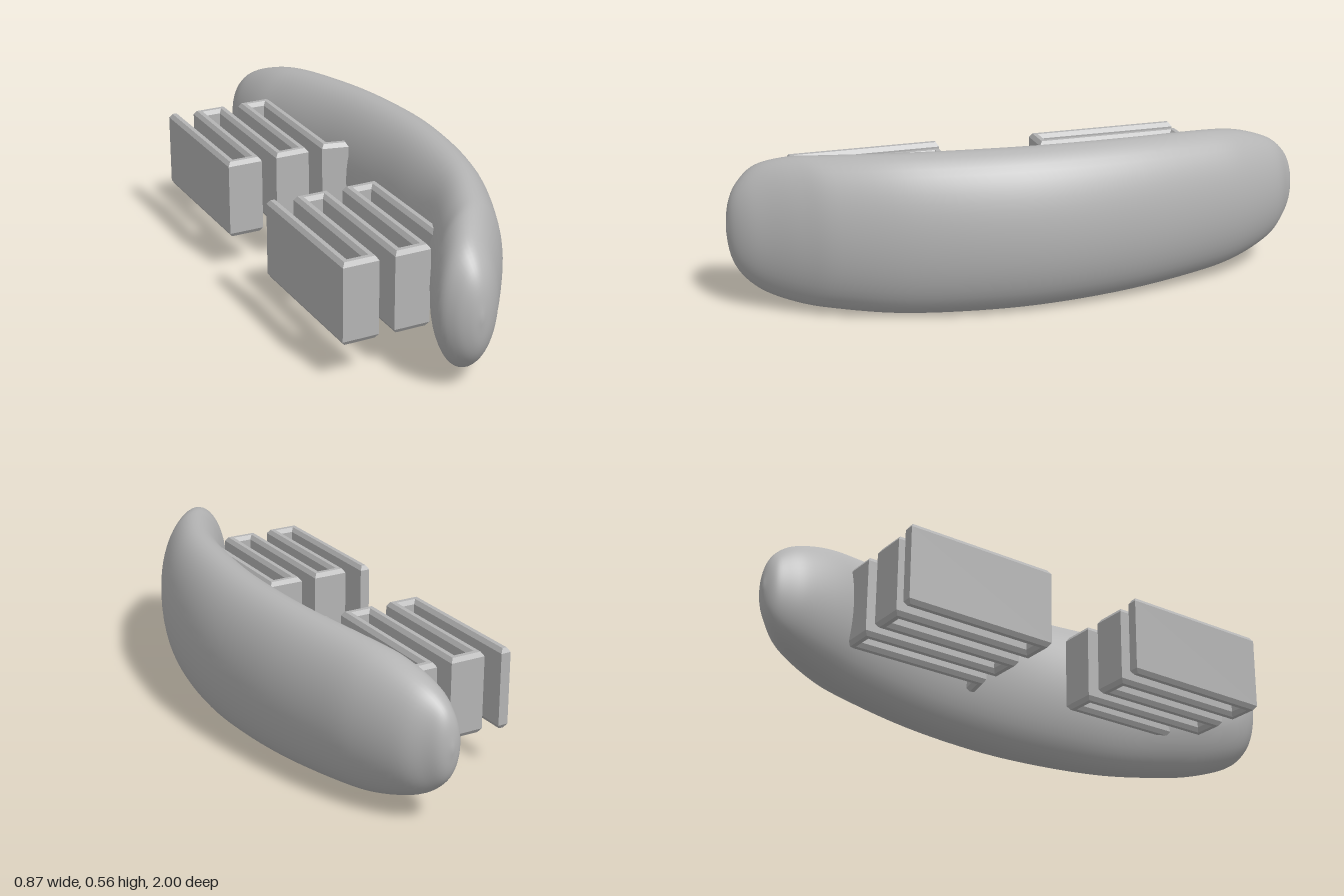
import * as THREE from 'three';
import { mergeVertices } from 'three/addons/utils/BufferGeometryUtils.js';

const MID_Y = 0.283;

// Curved, tapered pad lofted from elliptical sections along z
function padGeometry() {
  // z, inner x, outer x, half height
  const sections = [
    [-1, 0.215, 0.215, 0], [-0.985, 0.175, 0.255, 0.085], [-0.95, 0.152, 0.287, 0.14],
    [-0.88, 0.125, 0.34, 0.19], [-0.75, 0.115, 0.385, 0.234], [-0.6, 0.13, 0.412, 0.255],
    [-0.3, 0.148, 0.435, 0.271], [0, 0.125, 0.425, 0.279], [0.25, 0.075, 0.378, 0.281],
    [0.5, 0, 0.29, 0.278], [0.7, -0.115, 0.18, 0.266], [0.8, -0.185, 0.1, 0.254],
    [0.89, -0.227, 0.017, 0.222], [0.95, -0.21, -0.04, 0.168], [0.985, -0.175, -0.09, 0.1],
    [1, -0.138, -0.138, 0],
  ];
  const edge = (k) => new THREE.CatmullRomCurve3(
    sections.map((s) => new THREE.Vector3(s[k], s[3], s[0])), false, 'catmullrom');
  const inner = edge(1), outer = edge(2);
  const rings = 75, sides = 48, positions = [], index = [];
  for (let i = 0; i <= rings; i++) {
    const p = inner.getPoint(i / rings), q = outer.getPoint(i / rings);
    for (let j = 0; j < sides; j++) {
      const a = (j / sides) * Math.PI * 2;
      positions.push((p.x + q.x) / 2 + ((q.x - p.x) / 2) * Math.cos(a), MID_Y + p.y * Math.sin(a), p.z);
      if (i === rings) continue;
      const k = (j + 1) % sides, r = i * sides, n = r + sides;
      index.push(r + j, r + k, n + j, r + k, n + k, n + j);
    }
  }
  let geometry = new THREE.BufferGeometry();
  geometry.setAttribute('position', new THREE.Float32BufferAttribute(positions, 3));
  geometry.setIndex(index);
  geometry = mergeVertices(geometry, 1e-5);
  geometry.computeVertexNormals();
  return geometry;
}

// Offsets a path sideways with mitred corners
function offsetPath(path, d) {
  return path.map((p, i) => {
    const a = path[Math.max(i - 1, 0)], b = path[Math.min(i + 1, path.length - 1)];
    const u = (i > 0 ? p.clone().sub(a) : b.clone().sub(p)).normalize();
    const v = (i < path.length - 1 ? b.clone().sub(p) : u.clone()).normalize();
    const n1 = new THREE.Vector2(-u.y, u.x), n2 = new THREE.Vector2(-v.y, v.x);
    const m = n1.clone().add(n2).normalize();
    return p.clone().addScaledVector(m, d / m.dot(n1));
  });
}

// Folded leaf spring: slanted walls joined alternately at each end
function springGeometry() {
  const path = [];
  for (let i = 0; i < 5; i++) {
    const back = new THREE.Vector2(-0.222 + 0.091 * i, -0.725 + 0.011 * i);
    const front = new THREE.Vector2(-0.288 + 0.091 * i, -0.222 + 0.011 * i);
    if (i === 0) back.y -= 0.02;
    path.push(...(i % 2 ? [front, back] : [back, front]));
  }
  path.push(new THREE.Vector2(0.145, -0.153));
  const bevel = 0.01, half = 0.018 - bevel;
  const outline = [...offsetPath(path, half), ...offsetPath(path, -half).reverse()];
  const height = 0.285;
  const geometry = new THREE.ExtrudeGeometry(new THREE.Shape(outline), {
    depth: height - 0.03, bevelEnabled: true, bevelSize: bevel, bevelThickness: 0.015, bevelSegments: 1,
  });
  geometry.rotateX(Math.PI / 2);
  geometry.translate(0, MID_Y + height / 2 - 0.015, 0);
  return geometry;
}

export function createModel() {
  const grey = new THREE.MeshStandardMaterial({ color: 0xb4b4b4 });
  grey.name = 'grey';
  const model = new THREE.Group();
  model.name = 'sprungPad';

  const pad = new THREE.Mesh(padGeometry(), grey);
  pad.name = 'curvedPad';
  model.add(pad);

  // Two identical springs on the inner side
  const spring = springGeometry();
  for (const [name, x, z] of [['backSpring', 0, 0], ['frontSpring', -0.13, 0.895]]) {
    const mesh = new THREE.Mesh(spring, grey);
    mesh.name = name;
    mesh.position.set(x, 0, z);
    model.add(mesh);
  }
  return model;
}
